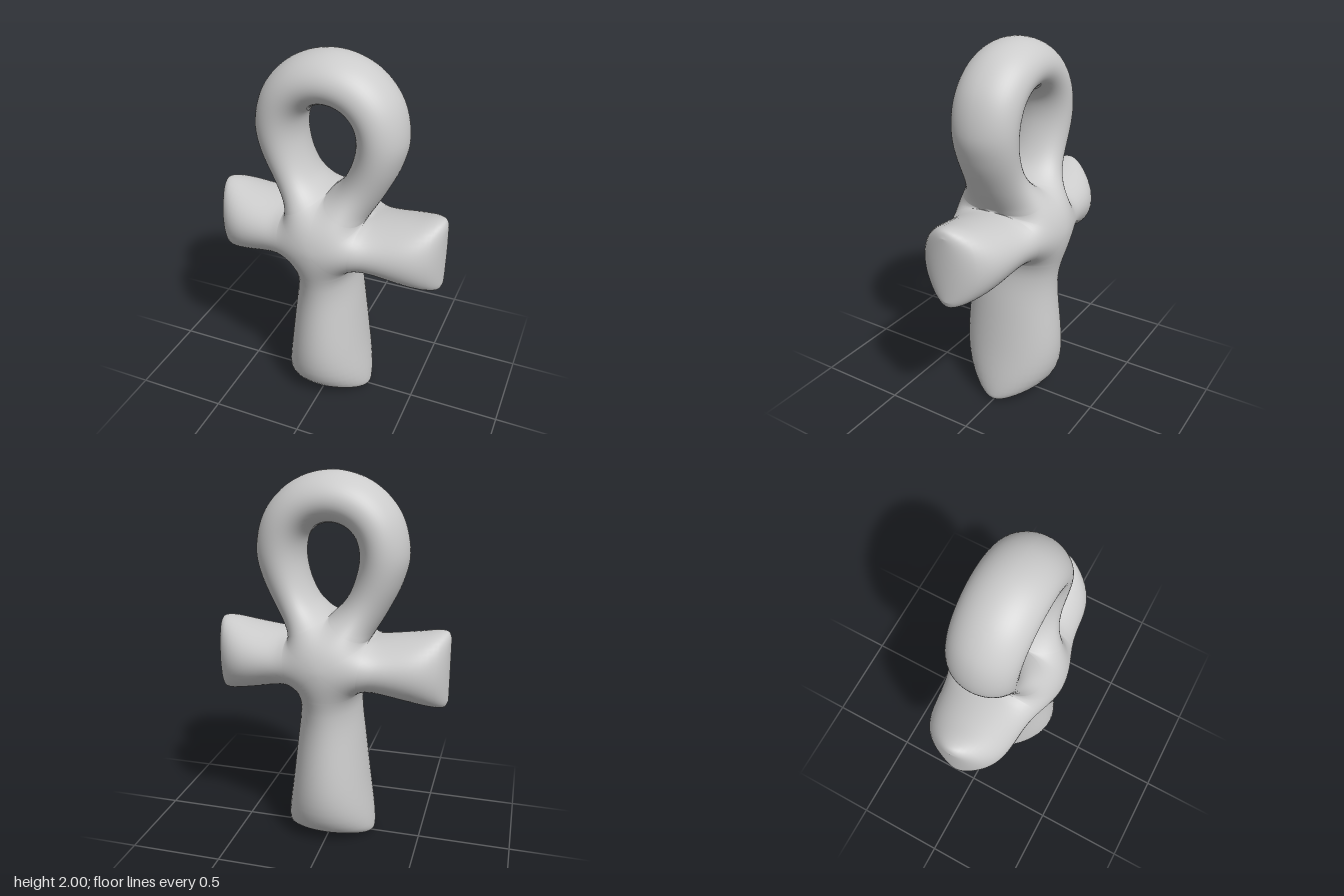
import * as THREE from 'three';

const DEPTH = 0.315; // half thickness at the hub
const ROWS = 24; // divisions across every limb

// Corners where the limbs meet the hub
const armpit = [0.215, 1.16], hip = [0.168, 0.868], tip = [0, 1.272], centre = [0, 1.04];
const flip = ([x, y]) => [-x, y];
const mirrored = (pts) => pts.map(flip);

const curve = (pts) => {
  const c = new THREE.CatmullRomCurve3(pts.map(([x, y]) => new THREE.Vector3(x, y, 0)));
  return (t) => { const p = c.getPoint(t); return [p.x, p.y]; };
};
const mix = (a, b, s) => [a[0] + (b[0] - a[0]) * s, a[1] + (b[1] - a[1]) * s];

// Spacings: even, dense at both ends, dense at the far end, dense at the near end
const even = (t) => t;
const bothEnds = (t) => (1 - Math.cos(Math.PI * t)) / 2;
const farEnd = (t) => Math.sin(Math.PI * t / 2);
const nearEnd = (t) => 1 - Math.cos(Math.PI * t / 2);

// Flat net of welded points, filled patch by patch
function makeNet() {
  const points = [], tris = [], lookup = new Map();
  const add = (p) => {
    const key = `${Math.round(p[0] * 1e5)},${Math.round(p[1] * 1e5)}`;
    if (!lookup.has(key)) { lookup.set(key, points.length); points.push(p); }
    return lookup.get(key);
  };
  const tri = (a, b, c) => {
    if (a === b || b === c || c === a) return;
    const [A, B, C] = [points[a], points[b], points[c]];
    const cross = (B[0] - A[0]) * (C[1] - A[1]) - (B[1] - A[1]) * (C[0] - A[0]);
    if (Math.abs(cross) < 1e-12) return;
    tris.push(cross > 0 ? [a, b, c] : [a, c, b]);
  };
  // Ruled patch between two edges
  const patch = (edgeA, edgeB, n, along, m, across) => {
    const id = [];
    for (let i = 0; i <= n; i++) {
      const t = along(i / n), a = edgeA(t), b = edgeB(t);
      id.push(Array.from({ length: m + 1 }, (_, j) => add(mix(a, b, across(j / m)))));
    }
    for (let i = 0; i < n; i++) for (let j = 0; j < m; j++) {
      tri(id[i][j], id[i + 1][j], id[i + 1][j + 1]);
      tri(id[i][j], id[i + 1][j + 1], id[i][j + 1]);
    }
  };
  return { points, tris, patch };
}

// Pillow height: solves laplace(u) = -2 with u = 0 on the outline
function inflate(points, tris) {
  const n = points.length, load = new Float64Array(n), diag = new Float64Array(n);
  const edges = [], count = new Map(), rim = new Uint8Array(n);
  for (const t of tris) for (let k = 0; k < 3; k++) {
    const a = t[k], b = t[(k + 1) % 3], c = t[(k + 2) % 3];
    const ax = points[a][0] - points[c][0], ay = points[a][1] - points[c][1];
    const bx = points[b][0] - points[c][0], by = points[b][1] - points[c][1];
    const cross = ax * by - ay * bx, w = 0.5 * (ax * bx + ay * by) / cross;
    edges.push([a, b, w]);
    diag[a] += w;
    diag[b] += w;
    load[c] += cross / 3;
    const key = Math.min(a, b) * n + Math.max(a, b);
    count.set(key, (count.get(key) || 0) + 1);
  }
  for (const [key, uses] of count) if (uses === 1) rim[Math.floor(key / n)] = rim[key % n] = 1;

  // Conjugate gradients
  const u = new Float64Array(n), r = load.map((v, i) => (rim[i] ? 0 : v));
  const dot = (a, b) => a.reduce((s, v, i) => s + v * b[i], 0);
  const scaled = () => r.map((v, i) => (rim[i] ? 0 : v / diag[i]));
  let z = scaled(), p = z.slice(), rz = dot(r, z);
  const stop = rz * 1e-14;
  for (let step = 0; step < 2000 && rz > stop; step++) {
    const q = new Float64Array(n);
    for (const [a, b, w] of edges) {
      const d = w * (p[a] - p[b]);
      q[a] += d;
      q[b] -= d;
    }
    for (let i = 0; i < n; i++) if (rim[i]) q[i] = 0;
    const alpha = rz / dot(p, q);
    for (let i = 0; i < n; i++) { u[i] += alpha * p[i]; r[i] -= alpha * q[i]; }
    z = scaled();
    const next = dot(r, z), beta = next / rz;
    p = p.map((v, i) => z[i] + beta * v);
    rz = next;
  }
  return { u, rim };
}

export function createModel() {
  const net = makeNet();

  // Loop: outer and inner outline of the right half, mirrored over the top
  const outer = [armpit, [0.298, 1.305], [0.37, 1.46], [0.398, 1.6], [0.346, 1.8], [0.2, 1.946]];
  const inner = [tip, [0.076, 1.355], [0.127, 1.47], [0.146, 1.585], [0.128, 1.67], [0.076, 1.723]];
  const over = (pts, top) => curve([...pts, top, ...mirrored(pts).reverse()]);
  net.patch(over(outer, [0, 2]), over(inner, [0, 1.742]), 96, even, ROWS, bothEnds);

  // Arms: upper and lower edges running out to a rounded end
  const upper = [armpit, [0.34, 1.178], [0.46, 1.198], [0.572, 1.218], [0.61, 1.212], [0.625, 1.18]];
  const lower = [hip, [0.2, 0.876], [0.42, 0.835], [0.57, 0.805], [0.61, 0.808], [0.625, 0.84]];
  for (const side of [(p) => p, mirrored])
    net.patch(curve(side(upper)), curve(side(lower)), 32, farEnd, ROWS, bothEnds);

  // Shaft: flares down to a flat, round-cornered foot
  const flank = [hip, [0.159, 0.79], [0.182, 0.58], [0.212, 0.33], [0.247, 0.07], [0.243, 0.02], [0.212, 0]];
  net.patch(curve(flank), curve(mirrored(flank)), 44, farEnd, ROWS, bothEnds);

  // Hub: five sectors around the centre
  const corners = [armpit, hip, flip(hip), flip(armpit), tip];
  corners.forEach((a, i) => {
    const b = corners[(i + 1) % 5];
    net.patch((t) => mix(a, b, t), () => centre, ROWS, bothEnds, 12, nearEnd);
  });

  // Raise the net to the front and the back, sharing the outline
  const { points, tris } = net, n = points.length;
  const { u, rim } = inflate(points, tris);
  const peak = u.reduce((a, b) => Math.max(a, b), 0);
  const height = (i) => (rim[i] ? 0 : DEPTH * Math.sqrt(Math.max(u[i], 0) / peak));
  const position = [], index = [];
  for (const side of [1, -1]) points.forEach(([x, y], i) => position.push(x, y, side * height(i)));
  const back = (i) => (rim[i] ? i : n + i);
  for (const [a, b, c] of tris) {
    if (rim[a] && rim[b] && rim[c]) continue;
    index.push(a, b, c, back(a), back(c), back(b));
  }
  const geometry = new THREE.BufferGeometry();
  geometry.setAttribute('position', new THREE.Float32BufferAttribute(position, 3));
  geometry.setIndex(index);
  geometry.computeVertexNormals();

  const body = new THREE.Mesh(geometry, new THREE.MeshStandardMaterial({ color: 0xcccccc }));
  body.name = 'loopedCross';
  const group = new THREE.Group();
  group.name = 'pillowedLoopedCross';
  group.add(body);
  return group;
}
